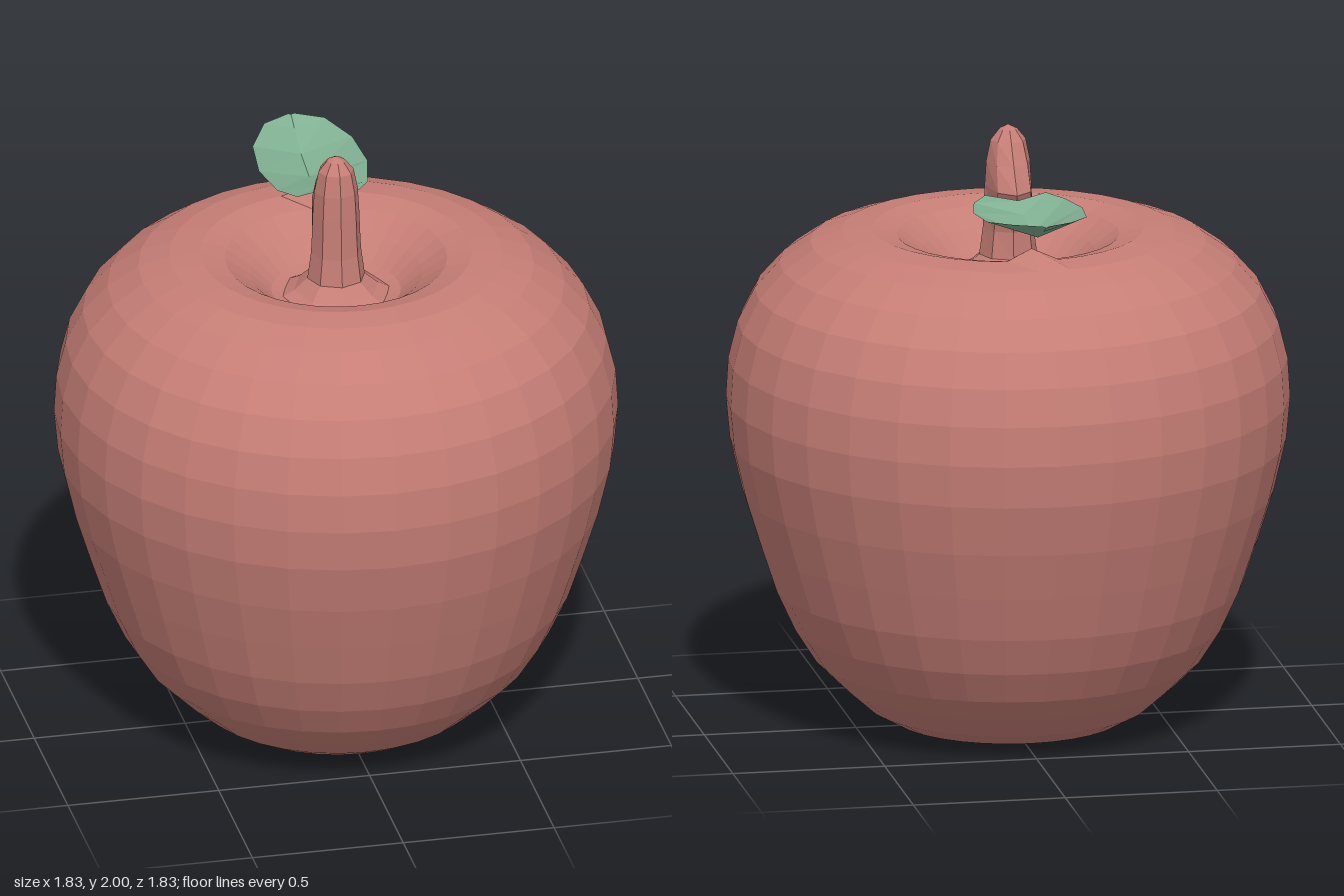
import * as THREE from 'three';

const skin = new THREE.MeshStandardMaterial({ color: 0xc67e76, flatShading: true });
skin.name = 'apple red';
const green = new THREE.MeshStandardMaterial({ color: 0x80b092, flatShading: true, side: THREE.DoubleSide });
green.name = 'leaf green';

function lathe(name, profile, sides, move) {
  const geo = new THREE.LatheGeometry(profile.map(([r, y]) => new THREE.Vector2(r, y)), sides);
  const p = geo.attributes.position;
  const v = new THREE.Vector3();
  for (let i = 0; i < p.count; i++) {
    v.fromBufferAttribute(p, i);
    move(v);
    p.setXYZ(i, v.x, v.y, v.z);
  }
  geo.computeVertexNormals();
  const mesh = new THREE.Mesh(geo, skin);
  mesh.name = name;
  return mesh;
}

// Leaf: cross-sections of left edge, midrib, right edge, folded along the middle
function leaf() {
  // half width, edge z, edge y, rib z, rib y
  const sections = [
    [0.1, -0.13, 1.8, -0.18, 1.79],
    [0.15, -0.2, 1.795, -0.26, 1.762],
    [0.18, -0.34, 1.8, -0.4, 1.732],
    [0.165, -0.5, 1.81, -0.52, 1.755],
    [0.1, -0.62, 1.828, -0.62, 1.8],
    [0.01, -0.668, 1.83, -0.67, 1.826],
  ];
  const pos = [];
  const index = [];
  sections.forEach(([w, ez, ey, rz, ry], i) => {
    pos.push(-w, ey, ez, 0, ry, rz, w, ey, ez);
    if (i === 0) return;
    for (let k = 0; k < 2; k++) {
      const a = (i - 1) * 3 + k, b = a + 1, c = a + 3, d = a + 4;
      index.push(a, b, d, a, d, c);
    }
  });
  const geo = new THREE.BufferGeometry();
  geo.setAttribute('position', new THREE.Float32BufferAttribute(pos, 3));
  geo.setIndex(index);
  geo.computeVertexNormals();
  const mesh = new THREE.Mesh(geo, green);
  mesh.name = 'leaf';
  return mesh;
}

export function createModel() {
  const group = new THREE.Group();
  group.name = 'apple';

  // Fruit: wide shoulders, narrow foot and a dip around the stem
  group.add(lathe('fruit', [
    [0, 0.015], [0.3, 0.005], [0.38, 0.025], [0.46, 0.07], [0.55, 0.15], [0.63, 0.23],
    [0.7, 0.34], [0.76, 0.47], [0.81, 0.62], [0.86, 0.78], [0.9, 0.95], [0.913, 1.09],
    [0.905, 1.22], [0.875, 1.34], [0.82, 1.45], [0.74, 1.54], [0.64, 1.61], [0.54, 1.645],
    [0.44, 1.655], [0.36, 1.635], [0.28, 1.58], [0.21, 1.52], [0.12, 1.5], [0, 1.5],
  ], 32, (v) => {
    // small peak on the back of the rim
    const d = Math.hypot(v.x, v.z + 0.44);
    if (v.y > 1.6 && d < 0.06) { v.y += 0.035; v.z += 0.03; }
  }));

  // Stem: flared foot, rounded tip, and a knuckle at the back where the leaf grows
  const knuckle = [[1.5, 1], [1.66, 1.15], [1.72, 1.45], [1.8, 2.1], [1.88, 1.45], [1.95, 1], [2, 1]];
  group.add(lathe('stem', [
    [0.22, 1.49], [0.14, 1.53], [0.095, 1.57], [0.083, 1.66], [0.08, 1.72], [0.077, 1.8],
    [0.072, 1.88], [0.058, 1.95], [0.03, 1.985], [0, 2],
  ], 8, (v) => {
    if (v.z >= 0) return;
    const i = Math.max(1, knuckle.findIndex(([y]) => y >= v.y - 1e-5));
    const [y0, s0] = knuckle[i - 1], [y1, s1] = knuckle[i];
    v.z *= s0 + (s1 - s0) * THREE.MathUtils.clamp((v.y - y0) / (y1 - y0), 0, 1);
  }));

  group.add(leaf());
  return group;
}
